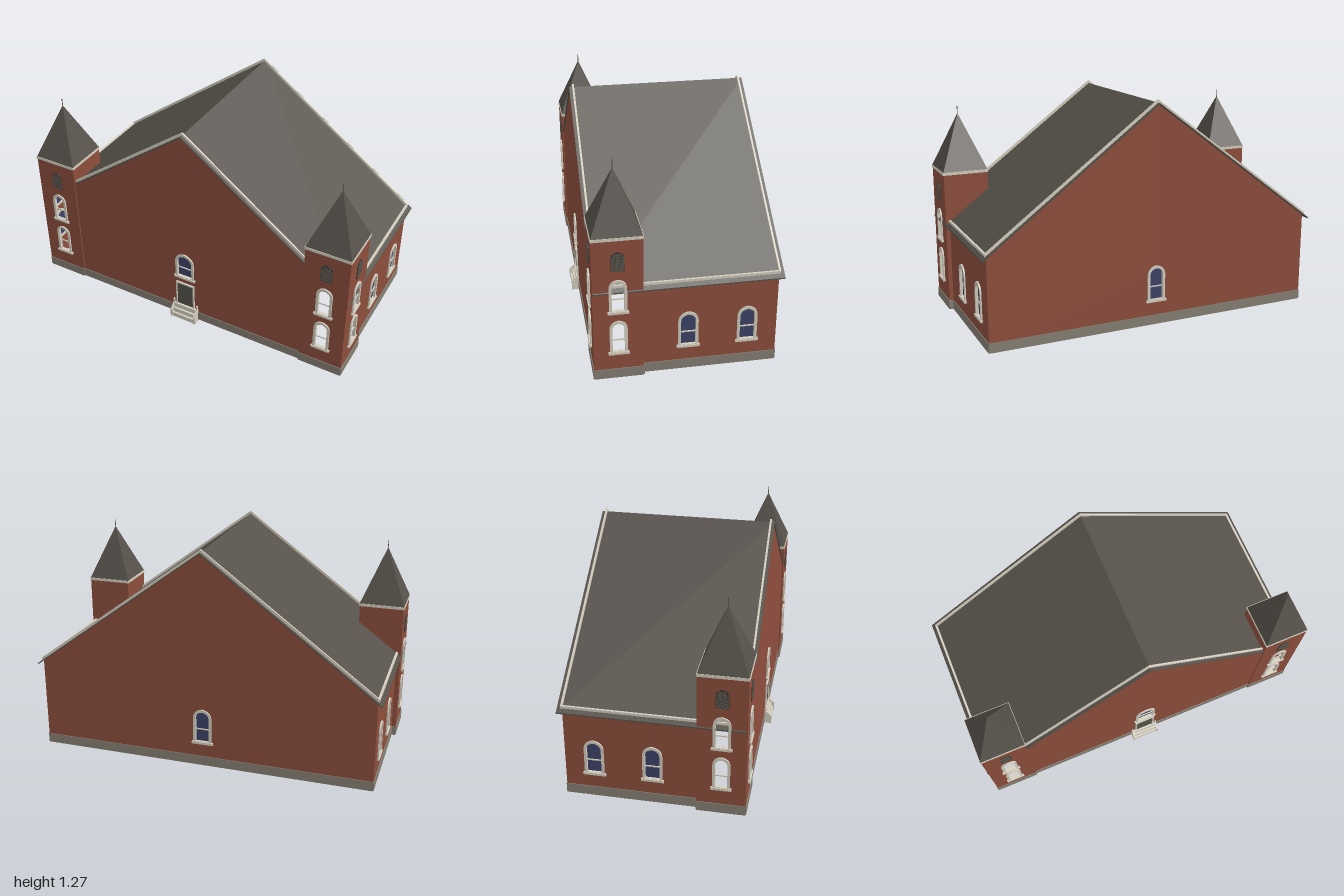
import * as THREE from 'three';

const mat = (name, color, side = THREE.FrontSide) => {
  const m = new THREE.MeshStandardMaterial({ color, side });
  m.name = name;
  return m;
};

export function createModel() {
  const brick = mat('red brick', 0x8e4e3d, THREE.DoubleSide);
  const slate = mat('dark slate', 0x56514a);
  const stone = mat('grey stone', 0x868074);
  const trim = mat('cream trim', 0xd4cebf);
  const glass = mat('blue glass', 0x3d4368, THREE.DoubleSide);
  const door = mat('door grey', 0x55544b);
  const shadowGap = mat('louvre gap', 0x35322e);

  const model = new THREE.Group();
  model.name = 'church';

  const add = (parent, name, geo, material, x = 0, y = 0, z = 0) => {
    const m = new THREE.Mesh(geo, material);
    m.name = name;
    m.position.set(x, y, z);
    parent.add(m);
    return m;
  };
  const box = (parent, name, material, w, h, d, x, y, z) =>
    add(parent, name, new THREE.BoxGeometry(w, h, d), material, x, y, z);
  const poly = pts => new THREE.Shape(pts.map(p => new THREE.Vector2(...p)));
  const extrude = (shape, depth) =>
    new THREE.ExtrudeGeometry(shape, { depth, bevelEnabled: false, curveSegments: 6 });

  const APEX = 1.255, SLOPE = 0.7425, BASE = 0.01;
  const roofY = x => APEX - SLOPE * Math.abs(x);

  // Slightly pointed arch outline
  const arch = (Type, cx, y0, y1, hw) => {
    const spring = y1 - hw * 1.05, s = new Type();
    s.moveTo(cx - hw, y0);
    s.lineTo(cx + hw, y0);
    s.lineTo(cx + hw, spring);
    s.quadraticCurveTo(cx + hw, y1 - hw * 0.18, cx, y1);
    s.quadraticCurveTo(cx - hw, y1 - hw * 0.18, cx - hw, spring);
    s.closePath();
    return s;
  };

  // Arched window: frame through the wall, sill, glazing bar and pane
  const addWindow = (wall, { cx = 0, y0, y1, hw, inward = false }) => {
    const g = new THREE.Group();
    g.name = 'window';
    wall.add(g);
    const t = 0.014;
    const ring = arch(THREE.Shape, cx, y0, y1, hw);
    ring.holes.push(arch(THREE.Path, cx, y0 + t, y1 - t * 1.1, hw - t));
    add(g, 'windowFrame', extrude(ring, 0.018), trim, 0, 0, -0.01);
    box(g, 'windowSill', trim, hw * 2 + 0.016, 0.013, 0.026, cx, y0 + 0.005, 0);
    const barY = y0 + (y1 - y0) * 0.42;
    box(g, 'glazingBar', trim, (hw - t) * 2, 0.006, 0.006, cx, barY, -0.002);
    const pane = add(g, 'windowPane',
      new THREE.ShapeGeometry(arch(THREE.Shape, cx, y0, y1, hw - 0.004), 6),
      inward ? paneInside : glass, 0, 0, -0.008);
    return pane;
  };
  // Tower panes are seen only from inside
  const paneInside = mat('blue glass inside', 0x3d4368, THREE.BackSide);

  // Wall sheet with window openings and a stone plinth; local z points outwards
  const addWall = (name, pts, plinthWidth, windows, pos, rotY) => {
    const g = new THREE.Group();
    g.name = name;
    g.position.set(...pos);
    g.rotation.y = rotY;
    model.add(g);
    const shape = poly(pts);
    for (const w of windows) {
      shape.holes.push(arch(THREE.Path, w.cx || 0, w.y0 + 0.002, w.y1 - 0.003, w.hw - 0.002));
      addWindow(g, w);
    }
    add(g, 'brickwork', new THREE.ShapeGeometry(shape, 6), brick);
    box(g, 'plinth', stone, plinthWidth, 0.055, 0.004, 0, BASE + 0.0275, 0.002);
    return g;
  };
  const gable = hw => [[-hw, BASE], [hw, BASE], [hw, roofY(hw) - 0.004],
    [0, APEX - 0.004], [-hw, roofY(hw) - 0.004]];
  const rect = (hw, h) => [[-hw, BASE], [hw, BASE], [hw, h], [-hw, h]];

  // Main hall walls
  const HALL = 0.967;
  const front = addWall('frontWall', gable(0.735), 1.47,
    [{ y0: 0.292, y1: 0.47, hw: 0.06 }], [0, 0, 0.47], 0);
  addWall('backWall', gable(HALL), HALL * 2,
    [{ y0: 0.145, y1: 0.355, hw: 0.053 }], [0, 0, -0.485], Math.PI);
  for (const s of [1, -1]) {
    const mid = -0.1325;
    const sideWindows = [-0.015, -0.327].map(z =>
      ({ cx: -s * (z - mid), y0: 0.145, y1: 0.355, hw: 0.053 }));
    addWall('sideWall', rect(0.3525, roofY(HALL) - 0.003), 0.705, sideWindows,
      [s * HALL, 0, mid], s * Math.PI / 2);
  }

  // Roof sheet and the raised trim along its edges
  const chevron = (hw, lo, hi) => poly([[-hw, roofY(hw) + lo], [0, APEX + lo],
    [hw, roofY(hw) + lo], [hw, roofY(hw) + hi], [0, APEX + hi], [-hw, roofY(hw) + hi]]);
  add(model, 'roof', extrude(chevron(0.994, -0.004, 0.003), 0.986), slate, 0, 0, -0.51);
  for (const z of [0.449, -0.491]) {
    add(model, 'rakeTrim', extrude(chevron(0.975, 0.002, 0.02), 0.01), trim, 0, 0, z);
  }
  for (const s of [1, -1]) {
    box(model, 'eaveTrim', trim, 0.012, 0.014, 0.94, s * 0.968, roofY(0.968) + 0.006, -0.016);
  }

  // Louvred opening with slats
  const addLouvre = wall => {
    const g = new THREE.Group();
    g.name = 'louvre';
    wall.add(g);
    add(g, 'louvreBack', extrude(arch(THREE.Shape, 0, 0.64, 0.747, 0.034), 0.003), shadowGap);
    for (let i = 0; i < 6; i++) {
      const w = i < 5 ? 0.064 : 0.044;
      box(g, 'slat', slate, w, 0.0135, 0.004, 0, 0.649 + i * 0.0165, 0.004);
    }
  };

  // Corner towers
  const IN = 0.735, OUT = 0.99, BACK = 0.22, FRONT = 0.478, TOP = 0.812;
  const towerX = (IN + OUT) / 2, towerZ = (BACK + FRONT) / 2;
  for (const s of [1, -1]) {
    const windows = [
      { y0: 0.158, y1: 0.355, hw: 0.046, inward: true },
      { y0: 0.4, y1: 0.593, hw: 0.046, inward: true },
    ];
    addLouvre(addWall('towerFront', rect((OUT - IN) / 2, TOP), OUT - IN, windows,
      [s * towerX, 0, FRONT], 0));
    addLouvre(addWall('towerSide', rect((FRONT - BACK) / 2, TOP), FRONT - BACK, windows,
      [s * OUT, 0, towerZ], s * Math.PI / 2));

    // Rear and inner faces rise from the roof, with a narrow return to the ground
    add(model, 'towerBack', new THREE.ShapeGeometry(poly([[s * IN, TOP], [s * IN, roofY(IN)],
      [s * HALL, roofY(HALL)], [s * HALL, BASE], [s * OUT, BASE], [s * OUT, TOP]])),
      brick, 0, 0, BACK);
    box(model, 'towerBackPlinth', stone, OUT - HALL, 0.055, 0.004,
      s * (OUT + HALL) / 2, BASE + 0.0275, BACK - 0.002);
    const inner = add(model, 'towerInner', new THREE.ShapeGeometry(poly([[-BACK, TOP],
      [-BACK, 0.69], [-0.47, 0.69], [-0.47, BASE], [-FRONT, BASE], [-FRONT, TOP]])),
      brick, s * IN, 0, 0);
    inner.rotation.y = Math.PI / 2;

    // Cornice, pyramid spire and finial
    box(model, 'towerCornice', trim, 0.263, 0.016, 0.264, s * towerX, 0.818, towerZ);
    const spire = new THREE.ConeGeometry(0.129 * Math.SQRT2, 0.315, 4, 1).toNonIndexed();
    spire.rotateY(Math.PI / 4);
    spire.computeVertexNormals();
    add(model, 'spire', spire, slate, s * towerX, 0.826 + 0.1575, towerZ);
    add(model, 'finial', new THREE.CylinderGeometry(0.002, 0.002, 0.05, 6), slate,
      s * towerX, 1.157, towerZ);
  }

  // Front door with its surround
  box(front, 'door', door, 0.104, 0.16, 0.006, 0, 0.168, 0.002);
  box(front, 'doorHead', trim, 0.12, 0.01, 0.012, 0, 0.25, 0.004);
  for (const s of [1, -1]) {
    box(front, 'doorJamb', trim, 0.008, 0.165, 0.012, s * 0.056, 0.168, 0.004);
  }

  // Entrance steps between sloping cheeks
  for (const [h, d] of [[0.028, 0.04], [0.056, 0.028], [0.085, 0.016]]) {
    box(model, 'step', trim, 0.145, h, d, 0, h / 2, 0.47 + d / 2);
  }
  const cheek = poly([[-0.455, 0], [-0.455, 0.085], [-0.475, 0.085], [-0.514, 0.05], [-0.514, 0]]
    .map(([z, y]) => [-z, y]));
  for (const s of [1, -1]) {
    const c = add(model, 'stepCheek', extrude(cheek, 0.012), trim, s * 0.077 + 0.006, 0, 0);
    c.rotation.y = -Math.PI / 2;
    box(model, 'stepPost', trim, 0.009, 0.03, 0.009, s * 0.077, 0.098, 0.476);
  }

  return model;
}
